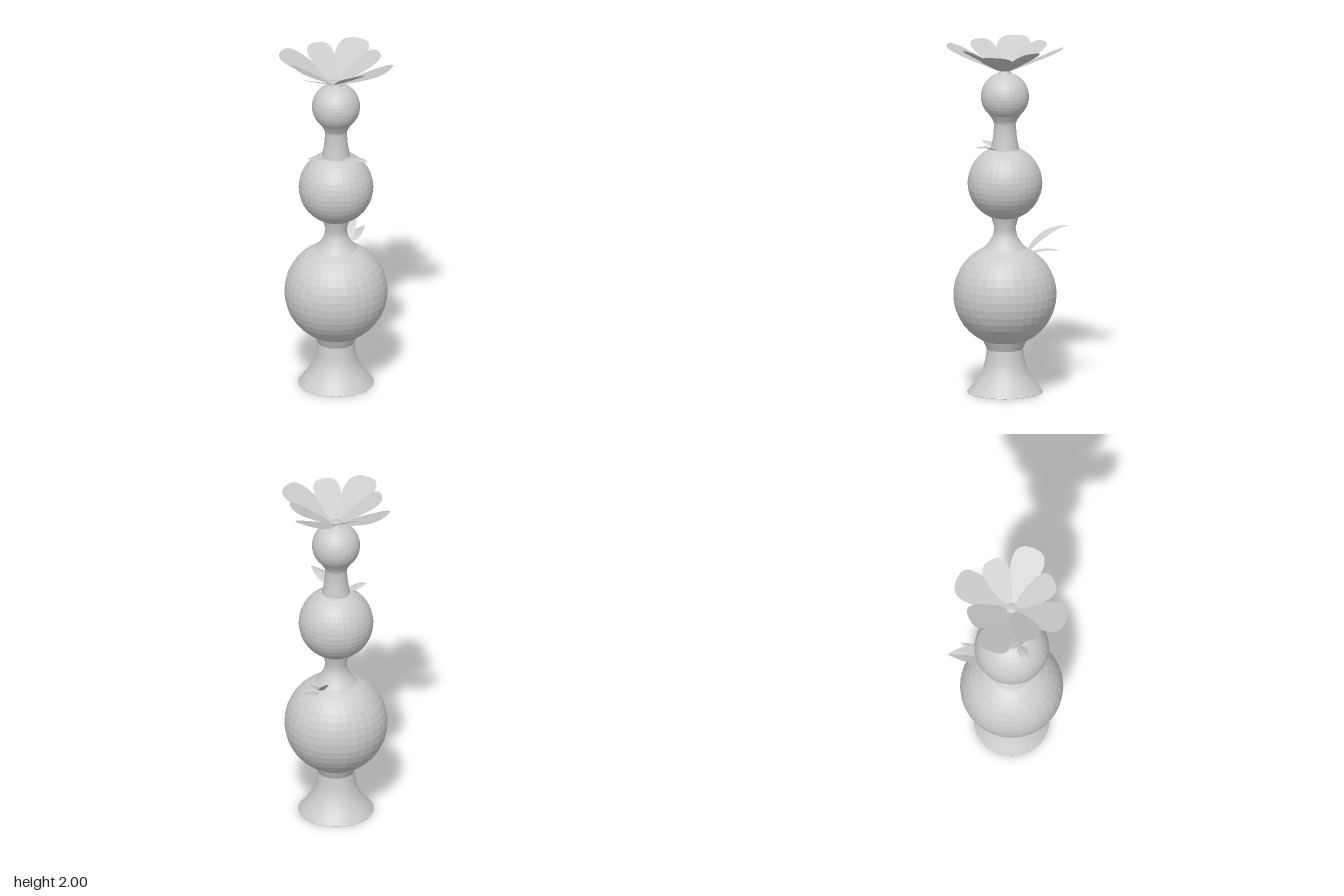
import * as THREE from 'three';

const smooth = new THREE.MeshStandardMaterial({ color: 0xcccccc, side: THREE.DoubleSide });
const faceted = new THREE.MeshStandardMaterial({ color: 0xcccccc, flatShading: true });
const thin = new THREE.MeshStandardMaterial({ color: 0xcccccc, side: THREE.DoubleSide, flatShading: true });

function add(group, name, geometry, material) {
  const mesh = new THREE.Mesh(geometry, material);
  mesh.name = name;
  group.add(mesh);
  return mesh;
}

// Turned part from [radius, height] pairs
function turned(points) {
  return new THREE.LatheGeometry(points.map(([r, y]) => new THREE.Vector2(r, y)), 32);
}

// Leaf: an arched midrib with two halves folded up from it
function leafGeometry(base, tip, halfWidth, arch, fold) {
  const a = new THREE.Vector3(...base), b = new THREE.Vector3(...tip);
  const mid = a.clone().lerp(b, 0.45);
  mid.y += arch;
  const rib = new THREE.QuadraticBezierCurve3(a, mid, b);
  const side = new THREE.Vector3(b.z - a.z, 0, a.x - b.x).normalize();
  const n = 8, pos = [], index = [];
  for (let i = 0; i <= n; i++) {
    const t = i / n;
    const p = rib.getPoint(t);
    const w = halfWidth * Math.pow(Math.sin(Math.PI * Math.pow(t * 0.93 + 0.07, 0.85)), 0.9) || 0;
    for (const s of [-1, 0, 1]) {
      pos.push(p.x + side.x * w * s, p.y + Math.abs(s) * w * fold, p.z + side.z * w * s);
    }
    if (i < n) {
      for (let j = 0; j < 2; j++) {
        const k = i * 3 + j;
        index.push(k, k + 1, k + 3, k + 1, k + 4, k + 3);
      }
    }
  }
  const g = new THREE.BufferGeometry();
  g.setAttribute('position', new THREE.Float32BufferAttribute(pos, 3));
  g.setIndex(index);
  g.computeVertexNormals();
  return g;
}

// Petal: flat rounded blade lying along +z, rising towards its tip
function petalGeometry(length, halfWidth, rise) {
  const r0 = 0.03, L = length - r0;
  const shape = new THREE.Shape();
  shape.moveTo(-0.03, r0);
  shape.bezierCurveTo(-halfWidth * 0.55, r0 + L * 0.22, -halfWidth, r0 + L * 0.5, -halfWidth, r0 + L * 0.74);
  shape.bezierCurveTo(-halfWidth, r0 + L * 0.93, -halfWidth * 0.65, length, 0, length);
  shape.bezierCurveTo(halfWidth * 0.65, length, halfWidth, r0 + L * 0.93, halfWidth, r0 + L * 0.74);
  shape.bezierCurveTo(halfWidth, r0 + L * 0.5, halfWidth * 0.55, r0 + L * 0.22, 0.03, r0);
  const g = new THREE.ShapeGeometry(shape, 10);
  const p = g.attributes.position;
  for (let i = 0; i < p.count; i++) {
    const z = p.getY(i);
    p.setXYZ(i, p.getX(i), rise * (z - r0) / L, z);
  }
  g.computeVertexNormals();
  return g;
}

export function createModel() {
  const model = new THREE.Group();
  model.name = 'stackedBallOrnament';

  // Column of stand, balls and necks
  const column = new THREE.Group();
  column.name = 'column';
  column.position.z = 0.01;
  model.add(column);

  add(column, 'stand', turned([[0, 0], [0.215, 0], [0.215, 0.002], [0.17, 0.06], [0.13, 0.12],
    [0.113, 0.18], [0.103, 0.25], [0.103, 0.25], [0.125, 0.30]]), smooth);
  add(column, 'lowerNeck', turned([[0.135, 0.815], [0.1, 0.855], [0.07, 0.9], [0.06, 0.95], [0.08, 1.02]]), smooth);
  add(column, 'upperNeck', turned([[0.082, 1.40], [0.068, 1.47], [0.061, 1.55], [0.07, 1.575], [0.093, 1.61]]), smooth);
  add(column, 'flowerStem', turned([[0.045, 1.835], [0.032, 1.85], [0.032, 1.862], [0, 1.862]]), smooth);

  const balls = [['lowerBall', 0.293, 0.565], ['middleBall', 0.212, 1.21], ['upperBall', 0.137, 1.71]];
  for (const [name, radius, y] of balls) {
    add(column, name, new THREE.SphereGeometry(radius, 32, 20), faceted).position.y = y;
  }

  // Flower: four petals on the axes, four larger ones between them
  const flower = new THREE.Group();
  flower.name = 'flower';
  flower.position.y = 1.86;
  column.add(flower);
  for (let i = 0; i < 8; i++) {
    const outer = i % 2 === 1;
    const geometry = outer ? petalGeometry(0.335, 0.094, 0.138) : petalGeometry(0.267, 0.077, 0.14);
    add(flower, outer ? 'outerPetal' : 'innerPetal', geometry, thin).rotation.y = i * Math.PI / 4 + (outer ? 0 : 0.03);
  }

  // Leaves growing from the tops of the two larger balls
  add(model, 'largeLeaf', leafGeometry([0.11, 0.82, -0.07], [0.19, 0.96, -0.305], 0.055, 0.05, 0.3), thin);
  add(model, 'smallLeaf', leafGeometry([0.12, 0.815, -0.07], [0.265, 0.84, -0.19], 0.033, 0.035, -0.3), thin);
  add(model, 'frontLeaf', leafGeometry([0.0, 1.41, 0.085], [0.088, 1.45, 0.263], 0.042, 0.035, -0.25), thin);
  add(model, 'sideLeaf', leafGeometry([-0.08, 1.405, 0.02], [-0.19, 1.428, 0.04], 0.03, 0.02, -0.25), thin);

  return model;
}
